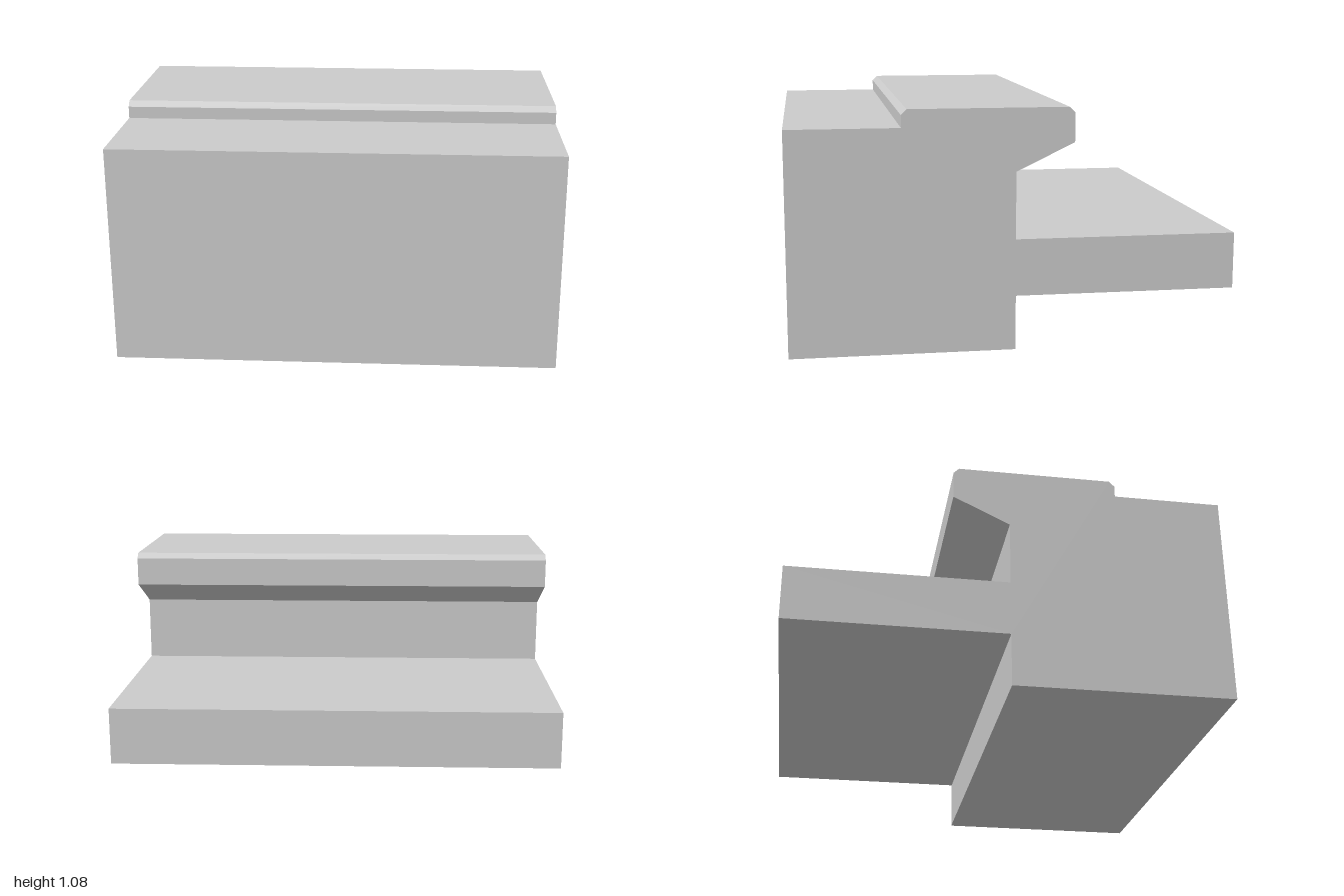
import * as THREE from 'three';

const WIDTH = 2;

// Side profile as [z, y], running from the bottom front edge round to the back
const PROFILE = [
  [1, 0], [0, 0],
  [0, 0.245], [-1, 0.245], [-1, 0.5], [0, 0.5],            // rear shelf
  [0, 0.8], [-0.26, 0.925], [-0.26, 1.055], [-0.235, 1.08], // overhanging lip
  [0.475, 1.08], [0.5, 1.055], [0.5, 1],                   // chamfered raised top
  [1, 1],
];

export function createModel() {
  const model = new THREE.Group();
  model.name = 'steppedBlock';

  // One solid profile extruded across the full width
  const shape = new THREE.Shape(PROFILE.map(([z, y]) => new THREE.Vector2(-z, y)));
  const geometry = new THREE.ExtrudeGeometry(shape, { depth: WIDTH, bevelEnabled: false });
  geometry.translate(0, 0, -WIDTH / 2);
  geometry.rotateY(Math.PI / 2); // profile -x becomes +z, depth runs along x

  const body = new THREE.Mesh(
    geometry,
    new THREE.MeshStandardMaterial({ color: 0xcccccc, flatShading: true }),
  );
  body.name = 'blockWithLipAndShelf';
  model.add(body);

  return model;
}
